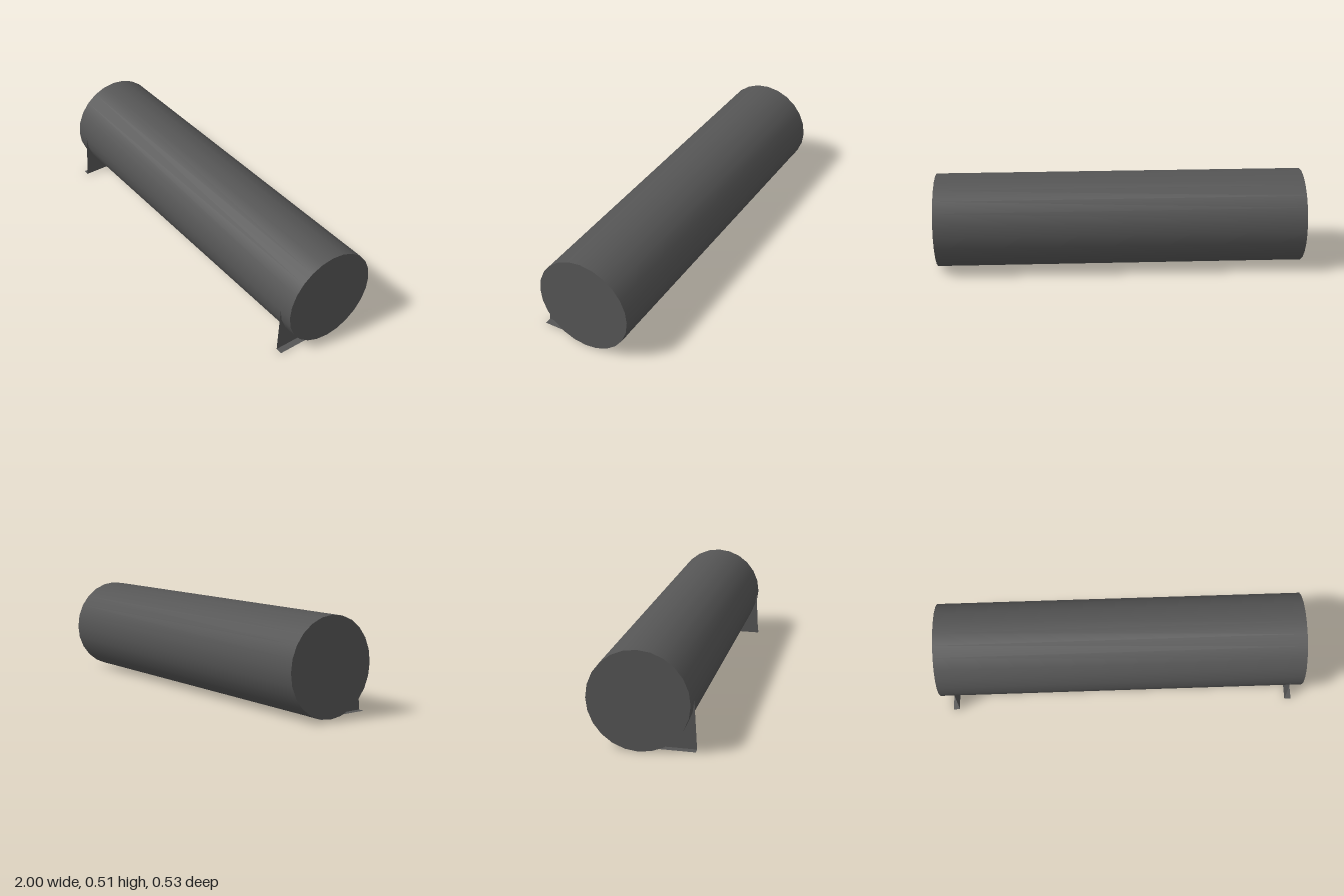
import * as THREE from 'three';

const R = 0.256, CY = 0.256, CZ = -0.006, SIDES = 24;

export function createModel() {
  const group = new THREE.Group();
  const dark = new THREE.MeshStandardMaterial({ color: 0x555555 });
  const darkThin = new THREE.MeshStandardMaterial({ color: 0x555555, side: THREE.DoubleSide });

  const add = (name, geometry, material, parent) => {
    const mesh = new THREE.Mesh(geometry, material);
    mesh.name = name;
    parent.add(mesh);
    return mesh;
  };

  // Main horizontal drum
  const drum = add('drum', new THREE.CylinderGeometry(R, R, 2, SIDES).rotateZ(Math.PI / 2), dark, group);
  drum.position.set(0, CY, CZ);

  // Gusset profile in (z, y): outer corner of the foot, closed by the drum's lower front quarter
  const gusset = new THREE.Shape();
  gusset.moveTo(0.264, 0);
  gusset.lineTo(CZ + R, CY);
  for (let i = 1; i <= SIDES / 4; i++) {
    const a = (i / SIDES) * Math.PI * 2;
    gusset.lineTo(CZ + R * Math.cos(a), CY - R * Math.sin(a));
  }
  gusset.closePath();

  // Support brackets at both ends, flanges pointing outward
  for (const [name, plateX, outerX] of [['rightBracket', -0.918, -0.952], ['leftBracket', 0.93, 0.966]]) {
    const bracket = new THREE.Group();
    bracket.name = name;
    group.add(bracket);

    const plate = add('gussetPlate', new THREE.ShapeGeometry(gusset).rotateY(-Math.PI / 2), darkThin, bracket);
    plate.position.x = plateX;

    // Flat foot under the plate
    const foot = add('footFlange',
      new THREE.PlaneGeometry(Math.abs(outerX - plateX), 0.27).rotateX(-Math.PI / 2), darkThin, bracket);
    foot.position.set((plateX + outerX) / 2, 0.0005, 0.129);

    // Curved saddle strip from the plate to the drum's end
    const endX = Math.sign(plateX);
    const saddle = add('saddleStrip',
      new THREE.CylinderGeometry(R + 0.0006, R + 0.0006, Math.abs(endX - plateX), SIDES / 4, 1, true, 0, Math.PI / 2)
        .rotateZ(-Math.PI / 2).rotateX(Math.PI / 2), darkThin, bracket);
    saddle.position.set((plateX + endX) / 2, CY, CZ);
  }
  return group;
}
